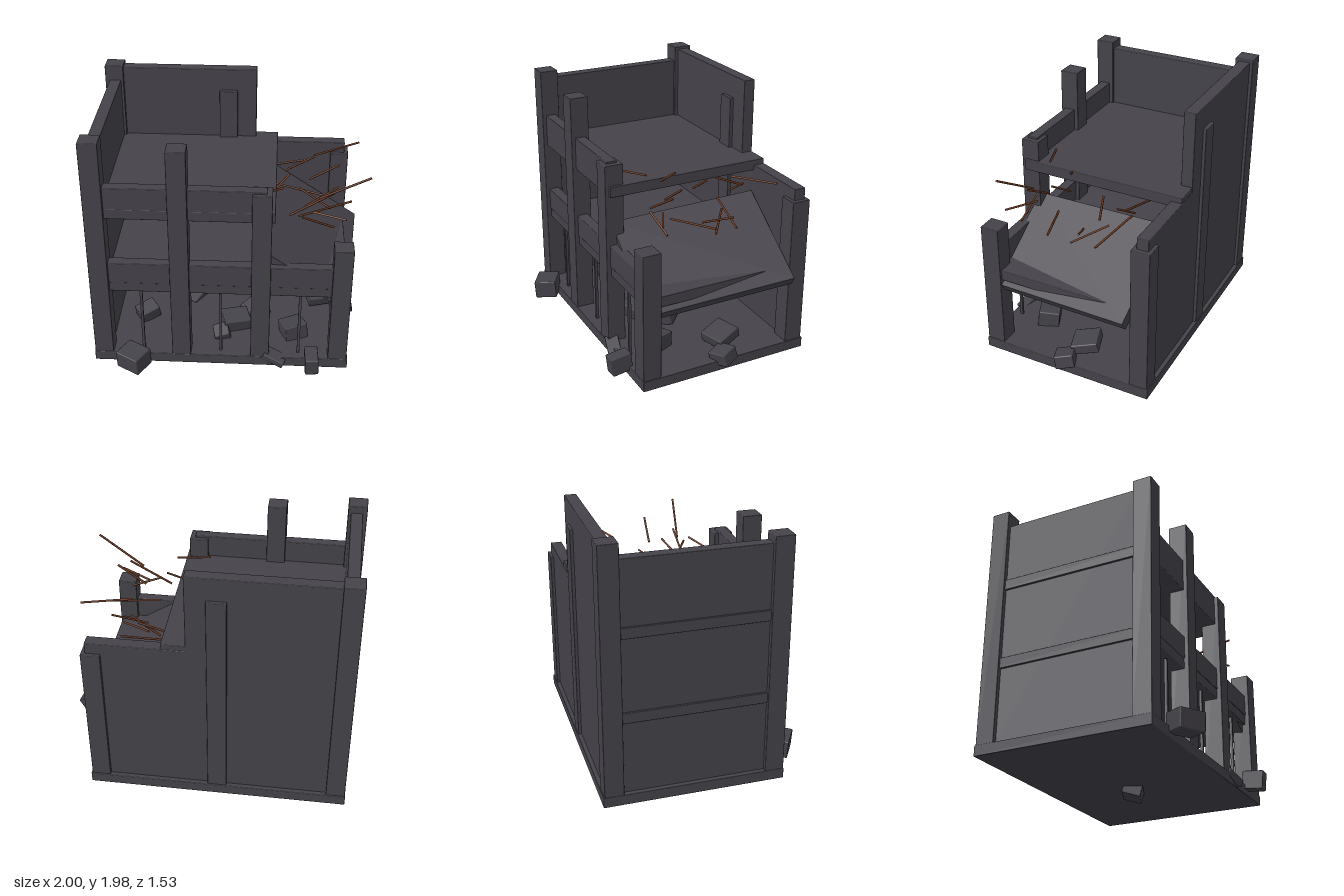
import * as THREE from 'three';
import { RoundedBoxGeometry } from 'three/addons/geometries/RoundedBoxGeometry.js';

export function createModel() {
  const model = new THREE.Group();
  model.name = 'ruinedBuilding';
  const concrete = new THREE.MeshStandardMaterial({ color: 0x45434a });
  concrete.name = 'concrete';
  const rust = new THREE.MeshStandardMaterial({ color: 0x6e3a22 });
  rust.name = 'rustySteel';

  const add = (name, geometry, material, parent = model) => {
    const mesh = new THREE.Mesh(geometry, material);
    mesh.name = name;
    parent.add(mesh);
    return mesh;
  };
  const group = (name) => {
    const g = new THREE.Group();
    g.name = name;
    model.add(g);
    return g;
  };
  // Slightly chamfered block given by its extents
  const block = (name, x0, x1, y0, y1, z0, z1, parent) => {
    const geo = new RoundedBoxGeometry(x1 - x0, y1 - y0, z1 - z0, 1, 0.005);
    const mesh = add(name, geo, concrete, parent);
    mesh.position.set((x0 + x1) / 2, (y0 + y1) / 2, (z0 + z1) / 2);
    return mesh;
  };

  // Floors
  block('groundSlab', -1, 0.908, 0.075, 0.155, -0.77, 0.553);
  block('middleFloor', -0.98, 0.88, 0.7, 0.78, -0.735, 0.515);
  block('upperFloor', -0.98, 0.34, 1.32, 1.4, -0.735, 0.52);

  // Columns, broken off at different heights: [x, top]
  const columns = group('columns');
  [[-0.927, 1.92], [-0.34, 1.87], [0.248, 1.552], [0.83, 1.12]].forEach(([x, top]) =>
    block('frontColumn', x - 0.07, x + 0.07, 0.15, top, 0.41, 0.55, columns));
  [[-0.927, 1.98], [-0.048, 1.79], [0.83, 1.275]].forEach(([x, top]) =>
    block('backColumn', x - 0.07, x + 0.07, 0.15, top, -0.762, -0.622, columns));

  // Walls, stepped down at the back
  block('leftWall', -0.965, -0.877, 0.15, 1.865, -0.64, 0.43);
  block('backWallTall', -0.965, 0.168, 0.15, 1.96, -0.738, -0.65);
  block('backWallLow', 0.16, 0.87, 0.15, 1.36, -0.738, -0.65);

  // Front parapets
  block('lowerParapet', -0.87, 0.78, 0.775, 0.945, 0.44, 0.52);
  block('upperParapet', -0.87, 0.28, 1.395, 1.567, 0.44, 0.52);

  // Thin upright bars in the ground floor openings
  for (const x of [-0.633, -0.047, 0.538]) {
    add('windowBar', new THREE.BoxGeometry(0.02, 0.54, 0.02), concrete).position.set(x, 0.415, 0.48);
  }

  // Collapsed floor piece leaning from the upper to the middle storey
  const along = new THREE.Vector3(0.66, -0.425, 0.035).normalize();
  const depth = new THREE.Vector3(-0.09, -0.075, 1.02).normalize();
  const up = new THREE.Vector3().crossVectors(depth, along).normalize();
  depth.crossVectors(along, up);
  const length = 0.79, width = 1.12, thick = 0.08;
  const fallen = add('fallenFloor', new RoundedBoxGeometry(length, thick, width, 1, 0.005), concrete);
  fallen.quaternion.setFromRotationMatrix(new THREE.Matrix4().makeBasis(along, up, depth));
  fallen.position.set(0.99, 0.73, -0.61)
    .addScaledVector(along, -length / 2)
    .addScaledVector(depth, width / 2)
    .addScaledVector(up, -thick / 2);

  // Bent-out reinforcing rods: two end points each
  const rods = group('reinforcingRods');
  [
    [0.15, 1.23, -0.44, 0.56, 1.33, -0.41],
    [0.4, 1.23, -0.41, 0.62, 1.37, -0.38],
    [0.32, 1.15, -0.35, 0.73, 1.09, -0.27],
    [0.62, 1.44, -0.28, 0.96, 1.48, -0.43],
    [0.52, 1.155, -0.27, 0.75, 1.09, -0.09],
    [0.56, 1.1, -0.09, 0.81, 1.22, -0.19],
    [0.58, 1.39, 0, 0.79, 1.525, 0.02],
    [0.51, 1.155, 0.14, 0.9, 1.21, 0],
    [0.34, 1.38, 0.13, 0.43, 1.46, 0.06],
    [0.15, 1.435, 0.36, 0.39, 1.465, 0.27],
    [0.44, 1.235, 0.26, 0.75, 1.42, 0.25],
    [0.53, 1.25, 0.31, 0.76, 1.165, 0.295],
    [0.61, 1.26, 0.25, 0.84, 1.275, 0.37],
    [0.65, 1.38, 0.255, 0.995, 1.59, 0.32],
  ].forEach(([a, b, c, d, e, f]) => {
    const from = new THREE.Vector3(a, b, c), to = new THREE.Vector3(d, e, f);
    const dir = to.clone().sub(from);
    const rod = add('rod', new THREE.CylinderGeometry(0.008, 0.008, dir.length(), 6), rust, rods);
    rod.position.copy(from).add(to).multiplyScalar(0.5);
    rod.quaternion.setFromUnitVectors(new THREE.Vector3(0, 1, 0), dir.normalize());
  });

  // Rubble: position, size, rotation
  const rubble = group('rubble');
  [
    [-0.69, 0.18, 0.64, 0.2, 0.14, 0.17, 0.08, -0.55, 0.05],
    [0.635, 0.185, 0.61, 0.1, 0.14, 0.16, 0.1, 0.05, 0.03],
    [0.36, 0.14, 0.53, 0.17, 0.06, 0.1, 0.2, -0.3, -0.3],
    [0.13, 0.07, -0.15, 0.21, 0.11, 0.14, 0.3, 0.4, -0.1],
    [0.05, 0.215, 0.18, 0.21, 0.11, 0.16, 0.2, 0.3, -0.1],
    [0.5, 0.2, 0.25, 0.18, 0.13, 0.16, -0.1, 0.4, 0.1],
    [0.88, 0.18, -0.1, 0.15, 0.1, 0.14, 0.2, 0.4, 0.1],
    [0.7, 0.235, -0.18, 0.2, 0.08, 0.2, 0.25, 0.3, -0.1],
    [0.2, 0.2, 0.02, 0.16, 0.1, 0.18, 0.1, 0.8, 0.2],
    [-0.65, 0.21, 0.1, 0.16, 0.1, 0.13, 0.2, 0.6, 0.1],
    [-0.3, 0.15, -0.2, 0.15, 0.09, 0.14, 0.1, 1, 0.2],
    [-0.05, 0.18, 0.3, 0.12, 0.08, 0.12, 0.3, 0.2, 0.2],
  ].forEach(([x, y, z, w, h, d, rx, ry, rz]) => {
    const chunk = add('chunk', new RoundedBoxGeometry(w, h, d, 1, 0.008), concrete, rubble);
    chunk.position.set(x, y, z);
    chunk.rotation.set(rx, ry, rz);
  });

  return model;
}
